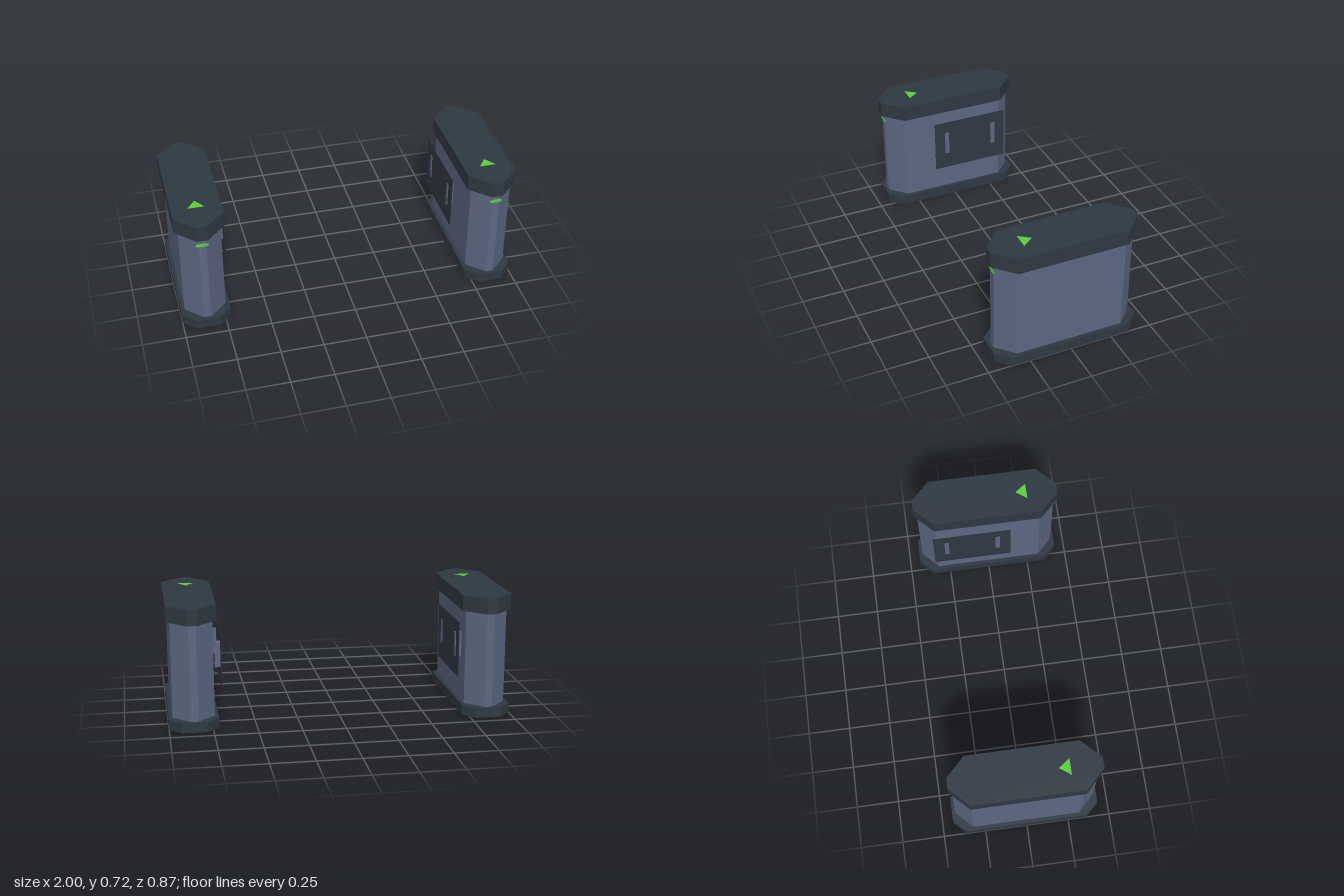
import * as THREE from 'three';

const mat = (name, color) => {
  const m = new THREE.MeshStandardMaterial({ color });
  m.name = name;
  return m;
};

// Upright prism from an outline of [x, -z] points, between two heights
function prism(points, y0, y1) {
  const shape = new THREE.Shape(points.map(([x, z]) => new THREE.Vector2(x, z)));
  const g = new THREE.ExtrudeGeometry(shape, { depth: y1 - y0, bevelEnabled: false });
  g.rotateX(-Math.PI / 2);
  g.translate(0, y0, 0);
  return g;
}

// Long octagon: outer half size (w, d), end flat half width f, side half length s
const octagon = (w, d, f, s) => [
  [w, -s], [w, s], [f, d], [-f, d], [-w, s], [-w, -s], [-f, -d], [f, -d],
];

export function createModel() {
  const model = new THREE.Group();
  model.name = 'gate';
  const steel = mat('blue grey steel', 0x5c6680);
  const dark = mat('dark slate', 0x2e3842);
  const green = mat('signal green', 0x5acd3c);

  // side = 1 is the pillar at +x; its access panel faces the passage
  function pillar(side) {
    const group = new THREE.Group();
    group.name = side > 0 ? 'leftPillar' : 'rightPillar';
    group.position.x = side * 0.857;
    const add = (name, geometry, material, x = 0, y = 0, z = 0) => {
      const mesh = new THREE.Mesh(geometry, material);
      mesh.name = name;
      mesh.position.set(x, y, z);
      group.add(mesh);
      return mesh;
    };

    // Plinth, shaft and cap
    add('base', prism(octagon(0.143, 0.437, 0.073, 0.363), 0, 0.058), dark);
    add('body', prism(octagon(0.121, 0.417, 0.022, 0.32), 0.058, 0.62), steel);
    add('cap', prism(octagon(0.143, 0.437, 0.03, 0.325), 0.62, 0.714), dark);

    // Reader plate with direction arrow on the cap
    add('readerPlate', new THREE.BoxGeometry(0.138, 0.004, 0.2), dark, 0, 0.715, 0.245);
    add('arrow', prism([[-0.048, -0.252], [0.048, -0.252], [0, -0.186]], 0.7165, 0.7185), green);

    // Oval status light on the front
    const lamp = new THREE.CylinderGeometry(0.0375, 0.0375, 0.003, 24);
    lamp.rotateX(Math.PI / 2);
    add('statusLight', lamp, green, 0, 0.577, 0.418).scale.y = 0.28;

    // Thin panel carried on two upright brackets
    add('panel', new THREE.BoxGeometry(0.002, 0.33, 0.476), dark, -side * 0.165, 0.391, -0.103);
    for (const z of [-0.26, 0.055]) {
      add('bracket', new THREE.BoxGeometry(0.038, 0.15, 0.027), steel, -side * 0.151, 0.407, z);
    }
    return group;
  }

  model.add(pillar(1), pillar(-1));
  return model;
}
